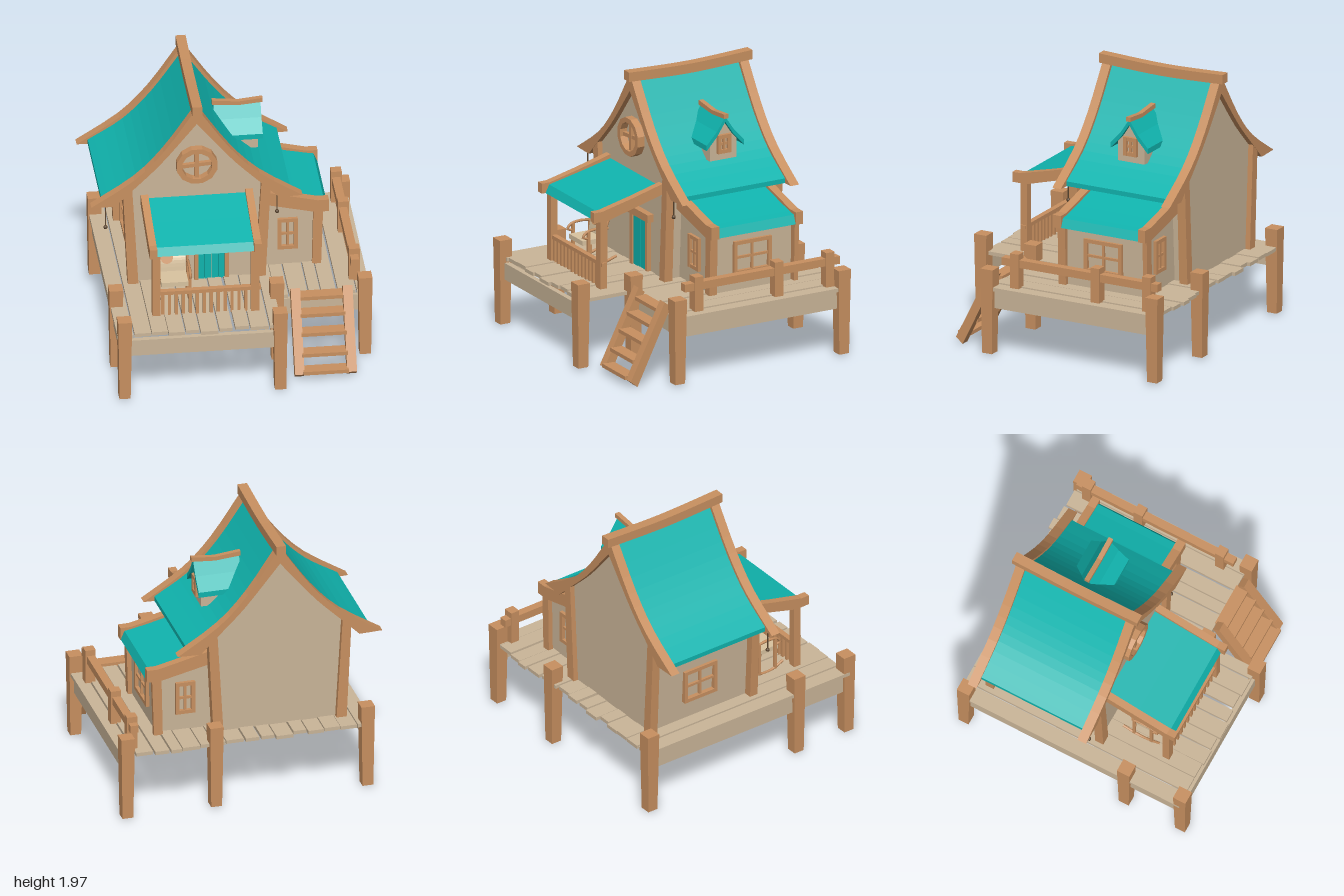
import * as THREE from 'three';

const mat = (name, color) => {
  const m = new THREE.MeshStandardMaterial({ color });
  m.name = name;
  return m;
};

export function createModel() {
  const wood = mat('timber', 0xc89060), wall = mat('plaster', 0xcab598), plank = mat('plank', 0xcab598);
  const teal = mat('teal roof', 0x10b4ae), cloth = mat('cushion', 0xd9c3a0), iron = mat('iron', 0x5c4630);
  const model = new THREE.Group();
  model.name = 'stiltCottage';

  const add = (name, geo, m, parent = model) => {
    const mesh = new THREE.Mesh(geo, m);
    mesh.name = name;
    parent.add(mesh);
    return mesh;
  };
  // Box given by its min and max on each axis
  const box = (name, m, x0, x1, y0, y1, z0, z1, parent) =>
    add(name, new THREE.BoxGeometry(x1 - x0, y1 - y0, z1 - z0)
      .translate((x0 + x1) / 2, (y0 + y1) / 2, (z0 + z1) / 2), m, parent);
  const extrude = (pts, depth) => new THREE.ExtrudeGeometry(
    new THREE.Shape(pts.map(p => new THREE.Vector2(p[0], p[1]))), { depth, bevelEnabled: false });
  // Outline in x,y drawn out along z
  const frontPlate = (name, m, pts, z0, z1, parent) =>
    add(name, extrude(pts, z1 - z0).translate(0, 0, z0), m, parent);
  // Outline in z,y drawn out along x
  const sidePlate = (name, m, pts, x0, x1, parent) =>
    add(name, extrude(pts, x1 - x0).rotateY(-Math.PI / 2).translate(x1, 0, 0), m, parent);
  const smooth = pts => new THREE.SplineCurve(pts.map(p => new THREE.Vector2(...p))).getPoints(12).map(v => [v.x, v.y]);
  const drop = (pts, d) => pts.map(p => [p[0], p[1] - d]).reverse();
  const tube = (name, m, pts, r, parent) => add(name, new THREE.TubeGeometry(
    new THREE.CatmullRomCurve3(pts.map(p => new THREE.Vector3(...p))), 14, r, 6), m, parent);

  // Framed window with a cross, in the x,y plane
  const windowFrame = (name, w, h, x, y, z, turn) => {
    const g = new THREE.Group(), t = 0.028;
    g.name = name;
    for (const s of [-1, 1]) {
      const cx = s * (w - t) / 2, cy = s * (h - t) / 2;
      box('windowJamb', wood, cx - t / 2, cx + t / 2, -h / 2, h / 2, -0.02, 0.02, g);
      box('windowSill', wood, -w / 2, w / 2, cy - t / 2, cy + t / 2, -0.019, 0.019, g);
    }
    box('windowMullion', wood, -0.009, 0.009, -h / 2 + t, h / 2 - t, -0.012, 0.012, g);
    box('windowTransom', wood, -w / 2 + t, w / 2 - t, -0.009, 0.009, -0.011, 0.011, g);
    g.position.set(x, y, z);
    g.rotation.y = turn;
    model.add(g);
  };

  // Deck planks: x0, x1, back z, front z
  [[-0.89, -0.775, -0.9, 0.89], [-0.765, -0.645, -0.91, 0.88], [-0.64, -0.525, -0.91, 0.88],
    [-0.52, -0.405, -0.91, 0.89], [-0.395, -0.3, -0.89, 0.88], [-0.29, -0.165, -0.92, 0.9],
    [-0.155, -0.06, -0.9, 0.88], [-0.04, 0.06, -0.91, 0.87], [0.07, 0.2, -0.89, 0.88],
    [0.21, 0.295, -0.91, 0.88], [0.3, 0.39, -0.9, 0.46], [0.4, 0.53, -0.92, 0.46],
    [0.54, 0.62, -0.94, 0.46], [0.63, 0.735, -0.92, 0.46], [0.75, 0.875, -0.91, 0.46], [0.885, 0.98, -0.9, 0.46],
  ].forEach(([a, b, c, d], i) => {
    const lift = (i * 7 % 5) * 0.002;
    box('deckPlank', plank, a, b, 0.488 + lift, 0.515 + lift, c, d);
  });

  // Deck edge beams
  box('frontBeam', plank, -0.84, 0.28, 0.35, 0.475, 0.86, 0.9);
  box('wingBeam', plank, 0.31, 0.94, 0.35, 0.475, 0.42, 0.45);
  box('rightBeam', plank, 0.92, 0.955, 0.355, 0.487, -0.86, 0.46);
  box('leftBeam', plank, -0.87, -0.84, 0.355, 0.487, -0.86, 0.87);

  // Stilts, wider at the top
  [[-0.84, 0.89], [0.28, 0.89], [-0.85, 0.44], [0.305, 0.47], [0.94, 0.47], [0.94, -0.88], [0.28, -0.88], [-0.85, -0.86]]
    .forEach(([x, z]) => {
      const g = new THREE.BoxGeometry(0.1, 0.635, 0.1), p = g.attributes.position;
      for (let i = 0; i < p.count; i++) if (p.getY(i) < 0) p.setXYZ(i, p.getX(i) * 0.8, p.getY(i), p.getZ(i) * 0.8);
      g.computeVertexNormals();
      add('stilt', g.translate(x, 0.33, z), wood);
    });

  // Main house; half outlines are distance from the ridge line and height
  const C = -0.235;
  const side = (pts, s) => pts.map(([d, y]) => [C + s * d, y]);
  const outer = smooth([[0, 1.95], [0.04, 1.89], [0.24, 1.6], [0.45, 1.38], [0.76, 1.175]]);
  const inner = smooth([[0, 1.82], [0.08, 1.72], [0.27, 1.49], [0.47, 1.29], [0.59, 1.17]]);
  const roof = smooth([[0, 1.905], [0.22, 1.59], [0.43, 1.37], [0.68, 1.21]]);
  const gable = [[0.435, 0.515], [0.475, 1.28], ...smooth([[0.46, 1.32], [0.22, 1.55], [0, 1.86]])];
  frontPlate('houseWalls', wall, [...side(gable, -1), ...side(gable.slice(0, -1).reverse(), 1)], -0.73, 0.15);
  for (const s of [-1, 1]) {
    frontPlate('mainRoof', teal, side([...roof, ...drop(roof, 0.035)], s), -0.715, 0.125);
    for (const [z0, z1] of [[0.12, 0.19], [-0.77, -0.7]]) {
      frontPlate('bargeBoard', wood, side([...outer, ...inner.slice().reverse()], s), z0, z1);
      frontPlate('cornerPost', wood, side([[0.42, 0.515], [0.495, 0.515], [0.53, 1.25], [0.465, 1.3]], s), z0 + 0.002, z1 - 0.002);
    }
  }
  const sag = smooth([[-0.8, 1.972], [-0.3, 1.955], [0.215, 1.972]]);
  sidePlate('ridgeBeam', wood, [...sag, ...drop(sag, 0.07)], C - 0.036, C + 0.036);

  // Round gable window
  const ring = new THREE.Shape(), hole = new THREE.Path(), N = 12;
  for (let i = 0; i < N; i++) {
    const a = (i + 0.5) / N * Math.PI * 2, f = i ? 'lineTo' : 'moveTo';
    ring[f](0.15 * Math.cos(a), 0.145 * Math.sin(a));
    hole[f](0.11 * Math.cos(a), 0.107 * Math.sin(a));
  }
  ring.holes.push(hole);
  const round = new THREE.Group();
  round.name = 'roundWindow';
  add('roundFrame', new THREE.ExtrudeGeometry(ring, { depth: 0.06, bevelEnabled: false }), wood, round);
  box('roundMullion', wood, -0.016, 0.016, -0.115, 0.115, 0.01, 0.04, round);
  box('roundTransom', wood, -0.115, 0.115, -0.014, 0.014, 0.01, 0.039, round).rotation.z = 0.08;
  round.position.set(C, 1.475, 0.147);
  model.add(round);

  // Side lean-to
  frontPlate('leanToWalls', wall, [[0.18, 0.515], [0.645, 0.515], [0.655, 1], [0.18, 1.11]], -0.63, 0.03);
  const leanTop = [[0.18, 1.145], [0.5, 1.065], [0.64, 1.035], [0.7, 1.025], [0.728, 0.96]];
  frontPlate('leanToRoof', teal, [...leanTop, [0.705, 0.96], [0.68, 1], [0.5, 1.03], [0.18, 1.11]], -0.63, 0.01);
  for (const [z0, z1] of [[0.005, 0.07], [-0.685, -0.625]]) {
    frontPlate('leanToRafter', wood, [[0.22, 1.155], [0.5, 1.085], [0.65, 1.05], [0.73, 1.05],
      [0.73, 0.955], [0.63, 0.955], [0.22, 1.05]], z0, z1);
    frontPlate('leanToPost', wood, [[0.61, 0.515], [0.675, 0.515], [0.69, 0.97], [0.62, 0.97]], z0 - 0.01 * Math.sign(z0), z1 - 0.015);
  }
  windowFrame('leanToFrontWindow', 0.145, 0.25, 0.435, 0.775, 0.035, 0);
  windowFrame('leanToBackWindow', 0.145, 0.25, 0.435, 0.775, -0.635, Math.PI);
  windowFrame('leanToSideWindow', 0.31, 0.25, 0.655, 0.765, -0.305, Math.PI / 2);
  windowFrame('houseSideWindow', 0.29, 0.26, -0.695, 0.8, -0.3, -Math.PI / 2);

  // Dormer on the right slope
  const Z = -0.302;
  sidePlate('dormerWalls', wall, [[Z - 0.11, 1.365], [Z + 0.11, 1.365], [Z + 0.11, 1.51], [Z, 1.66], [Z - 0.11, 1.51]], -0.06, 0.25);
  for (const s of [-1, 1]) sidePlate('dormerRoof', teal,
    [[0, 1.695], [0.07, 1.59], [0.153, 1.5], [0.153, 1.46], [0.07, 1.55], [0, 1.655]].map(([d, y]) => [Z + s * d, y]), -0.06, 0.28);
  frontPlate('dormerRidge', wood, [[-0.07, 1.72], [0.12, 1.7], [0.295, 1.718], [0.295, 1.685], [0.12, 1.67], [-0.07, 1.685]], Z - 0.018, Z + 0.018);
  windowFrame('dormerWindow', 0.11, 0.14, 0.255, 1.487, Z, Math.PI / 2);

  // Front porch
  sidePlate('porchRoof', teal, [[0.14, 1.205], [0.4, 1.145], [0.655, 1.09], [0.685, 1.03],
    [0.665, 1.03], [0.64, 1.07], [0.4, 1.12], [0.14, 1.18]], -0.585, 0.125);
  for (const x of [-0.635, 0.117]) {
    sidePlate('porchRafter', wood, [[0.14, 1.235], [0.4, 1.165], [0.65, 1.105], [0.715, 1.105],
      [0.715, 1.03], [0.6, 1.03], [0.4, 1.085], [0.14, 1.155]], x, x + 0.054);
  }
  for (const x of [-0.61, 0.1]) box('porchPost', wood, x, x + 0.058, 0.51, 1.05, 0.603, 0.658);
  box('porchRail', wood, -0.56, 0.17, 0.687, 0.715, 0.61, 0.65);
  for (let i = 0; i < 13; i++) {
    const x = -0.535 + i * 0.05;
    box('baluster', wood, x - 0.011, x + 0.011, 0.51, 0.69, 0.62, 0.642);
  }

  // Front door
  for (let i = 0; i < 4; i++) box('doorBoard', teal, -0.222 + i * 0.048, -0.177 + i * 0.048, 0.515, 0.92, 0.14, 0.165);
  for (const x of [-0.252, -0.032]) box('doorJamb', wood, x, x + 0.03, 0.515, 0.92, 0.14, 0.18);
  box('doorLintel', wood, -0.3, 0.04, 0.905, 0.962, 0.14, 0.2);

  // Porch chair
  const chair = new THREE.Group();
  chair.name = 'porchChair';
  const back = smooth([[0.36, 0.7], [0.345, 0.79], [0.31, 0.85], [0.29, 0.925]]);
  sidePlate('chairBack', cloth, [...back, ...back.map(([z, y]) => [z - 0.03, y + 0.004]).reverse()], -0.53, -0.335, chair);
  box('chairSeat', cloth, -0.53, -0.335, 0.675, 0.71, 0.34, 0.52, chair);
  const spot = add('cushionPatch', new THREE.CylinderGeometry(0.045, 0.045, 0.006, 14).rotateX(Math.PI / 2 - 0.4), wood, chair);
  spot.position.set(-0.47, 0.81, 0.337);
  for (const x of [-0.545, -0.32]) {
    tube('chairArm', wood, [[x, 0.78, 0.32], [x, 0.79, 0.42], [x, 0.775, 0.5], [x, 0.74, 0.525], [x, 0.73, 0.49]], 0.01, chair);
    tube('chairRocker', wood, [[x, 0.56, 0.25], [x, 0.53, 0.35], [x, 0.53, 0.45], [x, 0.57, 0.55]], 0.01, chair);
    for (const z of [0.34, 0.48]) box('chairLeg', wood, x - 0.01, x + 0.01, 0.53, 0.78, z - 0.01, z + 0.01, chair);
    tube('chairBackPost', wood, [[x, 0.68, 0.35], [x, 0.8, 0.33], [x, 0.93, 0.275]], 0.009, chair);
  }
  model.add(chair);

  // Steps up to the deck
  for (const [x0, x1] of [[0.4, 0.468], [0.775, 0.845]])
    sidePlate('stepStringer', wood, [[0.8, 0.045], [0.745, 0], [0.47, 0.56], [0.52, 0.6]], x0, x1);
  [[0.06, 0.815], [0.17, 0.75], [0.3, 0.68], [0.42, 0.615], [0.525, 0.55]].forEach(([y, z]) =>
    box('stepTread', wood, 0.46, 0.785, y - 0.014, y + 0.014, z - 0.095, z));

  // Deck handrail
  box('handrail', wood, 0.85, 0.91, 0.672, 0.73, -0.885, 0.39);
  for (const z of [0.28, -0.38, -0.8]) box('handrailPost', wood, 0.845, 0.922, 0.51, 0.775, z - 0.035, z + 0.035);

  // Hanging charms under the eaves
  for (const [x, y] of [[-0.89, 0.99], [0.345, 1.035]]) {
    box('charmCord', iron, x - 0.003, x + 0.003, y, 1.18, 0.157, 0.163);
    add('charm', new THREE.SphereGeometry(0.015, 10, 8).translate(x, y, 0.16), iron);
  }
  return model;
}
